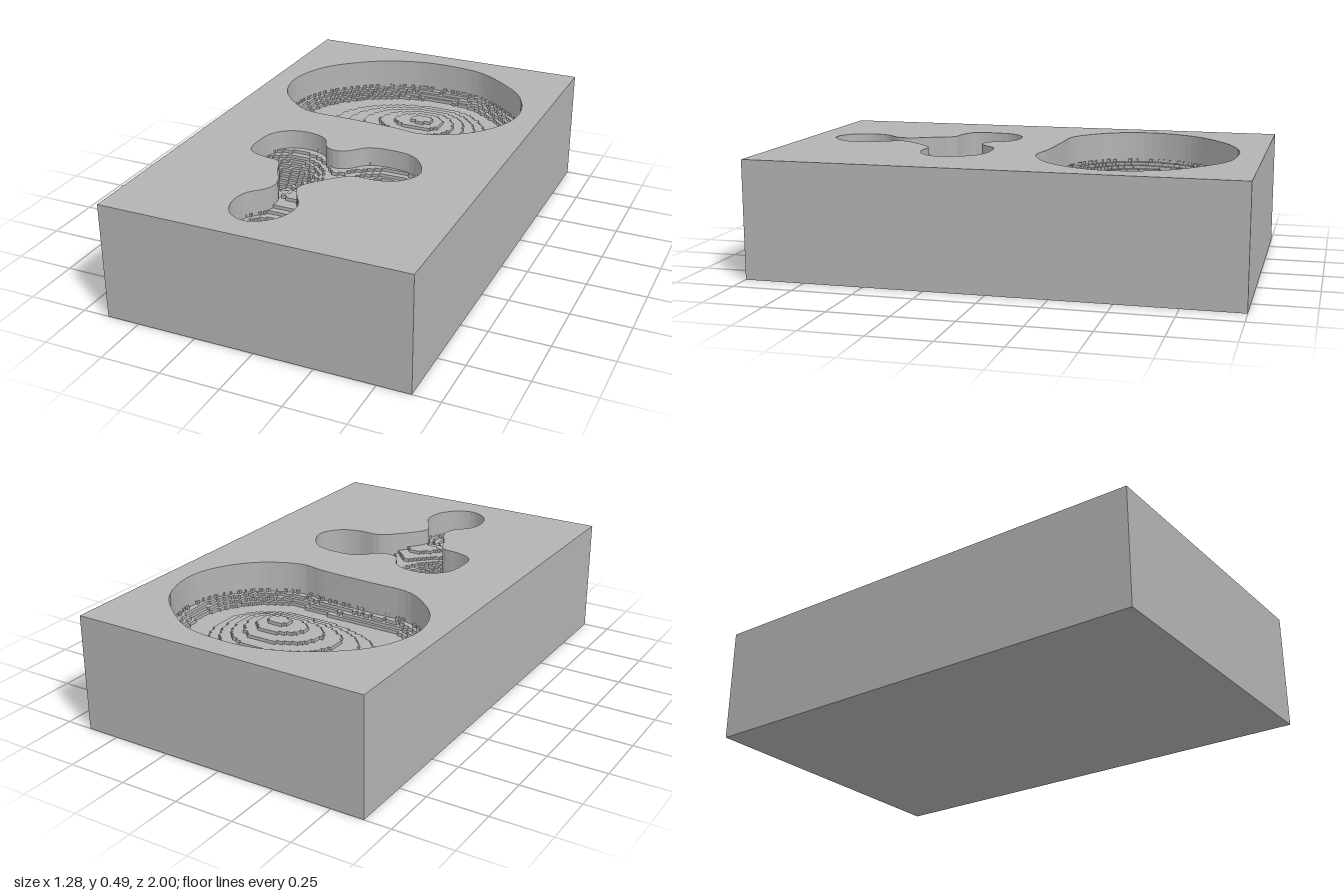
import * as THREE from 'three';

const W = 1.276, H = 0.49, L = 2, CELL = 0.0133;

// Closed smooth outline from [x, z] points, clockwise seen from above
function outline(points, count) {
  const curve = new THREE.CatmullRomCurve3(points.map(([x, z]) => new THREE.Vector3(x, 0, z)), true);
  return curve.getSpacedPoints(count).slice(0, count);
}

// Collects four-cornered faces into one flat-shaded geometry
function quadBuilder() {
  const pos = [];
  return {
    add(a, b, c, d) { pos.push(...a, ...b, ...c, ...a, ...c, ...d); },
    build() {
      const g = new THREE.BufferGeometry();
      g.setAttribute('position', new THREE.Float32BufferAttribute(pos, 3));
      g.computeVertexNormals();
      return g;
    },
  };
}

// Vertical wall around a cavity, facing inward
function cavityWall(pts, depth) {
  const q = quadBuilder(), lo = H - depth;
  pts.forEach((p, i) => {
    const n = pts[(i + 1) % pts.length];
    q.add([p.x, lo, p.z], [n.x, lo, n.z], [n.x, H, n.z], [p.x, H, p.z]);
  });
  return q.build();
}

// Terraced floor: square cells whose depth is rounded to whole steps
function terracedFloor(pts, depthAt) {
  const q = quadBuilder();
  const box = new THREE.Box3().setFromPoints(pts);
  const nx = Math.ceil((box.max.x - box.min.x) / CELL);
  const nz = Math.ceil((box.max.z - box.min.z) / CELL);
  const X = i => box.min.x + i * CELL, Z = j => box.min.z + j * CELL;
  const level = [];
  for (let i = 0; i <= nx; i++) {
    level.push([]);
    for (let j = 0; j <= nz; j++) {
      level[i].push(H - Math.round(depthAt(X(i + 0.5), Z(j + 0.5)) / CELL) * CELL);
    }
  }
  for (let i = 0; i < nx; i++) {
    for (let j = 0; j < nz; j++) {
      const x0 = X(i), x1 = X(i + 1), z0 = Z(j), z1 = Z(j + 1);
      const y = level[i][j], yx = level[i + 1][j], yz = level[i][j + 1];
      q.add([x0, y, z1], [x1, y, z1], [x1, y, z0], [x0, y, z0]);
      if (y !== yx) q.add([x1, yx, z1], [x1, yx, z0], [x1, y, z0], [x1, y, z1]);
      if (y !== yz) q.add([x0, yz, z1], [x1, yz, z1], [x1, y, z1], [x0, y, z1]);
    }
  }
  return q.build();
}

export function createModel() {
  const group = new THREE.Group();
  const grey = new THREE.MeshStandardMaterial({ color: 0xb3b3b3 });
  grey.name = 'grey';
  const add = (name, geometry) => {
    const mesh = new THREE.Mesh(geometry, grey);
    mesh.name = name;
    group.add(mesh);
    return mesh;
  };

  // Large oval cavity and small three-lobed cavity
  const oval = outline([
    [-0.54, -0.42], [-0.53, -0.52], [-0.48, -0.64], [-0.40, -0.73], [-0.26, -0.83],
    [-0.08, -0.89], [0.08, -0.895], [0.22, -0.87], [0.36, -0.78], [0.47, -0.67],
    [0.53, -0.52], [0.53, -0.40], [0.48, -0.28], [0.38, -0.17], [0.22, -0.10],
    [0.10, -0.115], [-0.12, -0.125], [-0.32, -0.135], [-0.41, -0.19], [-0.50, -0.29],
  ], 90);
  const lobes = outline([
    [-0.36, 0.20], [-0.34, 0.14], [-0.28, 0.09], [-0.20, 0.08], [-0.12, 0.11], [-0.08, 0.18],
    [-0.03, 0.20], [0.02, 0.18], [0.08, 0.12], [0.18, 0.105], [0.28, 0.125], [0.34, 0.19],
    [0.365, 0.27], [0.32, 0.35], [0.24, 0.385], [0.13, 0.39], [0.06, 0.45], [-0.02, 0.56],
    [0.01, 0.63], [0.05, 0.70], [0.04, 0.80], [-0.02, 0.87], [-0.08, 0.89], [-0.15, 0.86],
    [-0.19, 0.78], [-0.18, 0.69], [-0.12, 0.62], [-0.11, 0.56], [-0.16, 0.46], [-0.20, 0.38],
    [-0.28, 0.365], [-0.35, 0.33],
  ], 110);

  // Block sides and underside: a box without its top face
  const block = new THREE.BoxGeometry(W, H, L).translate(0, H / 2, 0);
  const index = Array.from(block.index.array);
  index.splice(12, 6);
  block.setIndex(index);
  block.clearGroups();
  add('block', block);

  // Top face with the two openings
  const top = new THREE.Shape([[-1, -1], [1, -1], [1, 1], [-1, 1]]
    .map(([x, y]) => new THREE.Vector2(x * W / 2, y * L / 2)));
  for (const pts of [oval, lobes]) {
    top.holes.push(new THREE.Path(pts.map(p => new THREE.Vector2(p.x, -p.z))));
  }
  add('topFace', new THREE.ShapeGeometry(top).rotateX(-Math.PI / 2).translate(0, H, 0));

  // Oval floor: low off-centre dome, with a shallower ledge along the rim
  const ovalDepth = (x, z) => {
    const rim = Math.min(...oval.map(p => Math.hypot(p.x - x, p.z - z)));
    const r = Math.hypot((x - 0.1) / (x < 0.1 ? 0.46 : 0.28), (z + 0.45) / (z < -0.45 ? 0.32 : 0.22));
    return 0.12 + 0.05 * Math.min(1, rim / 0.06) - 0.08 * Math.max(0, 1 - r);
  };
  add('ovalWall', cavityWall(oval, 0.2));
  add('ovalFloor', terracedFloor(oval, ovalDepth));

  // Lobed floor: a pit in each lobe, joined by a shallower neck
  const pits = [[-0.23, 0.30, 0.17], [0.20, 0.31, 0.17], [-0.07, 0.75, 0.09]];
  const lobedDepth = (x, z) => pits.reduce(
    (d, [px, pz, depth]) => d + depth * Math.exp(-((x - px) ** 2 + (z - pz) ** 2) / 0.02), 0.06);
  add('lobedWall', cavityWall(lobes, 0.27));
  add('lobedFloor', terracedFloor(lobes, lobedDepth));

  return group;
}
